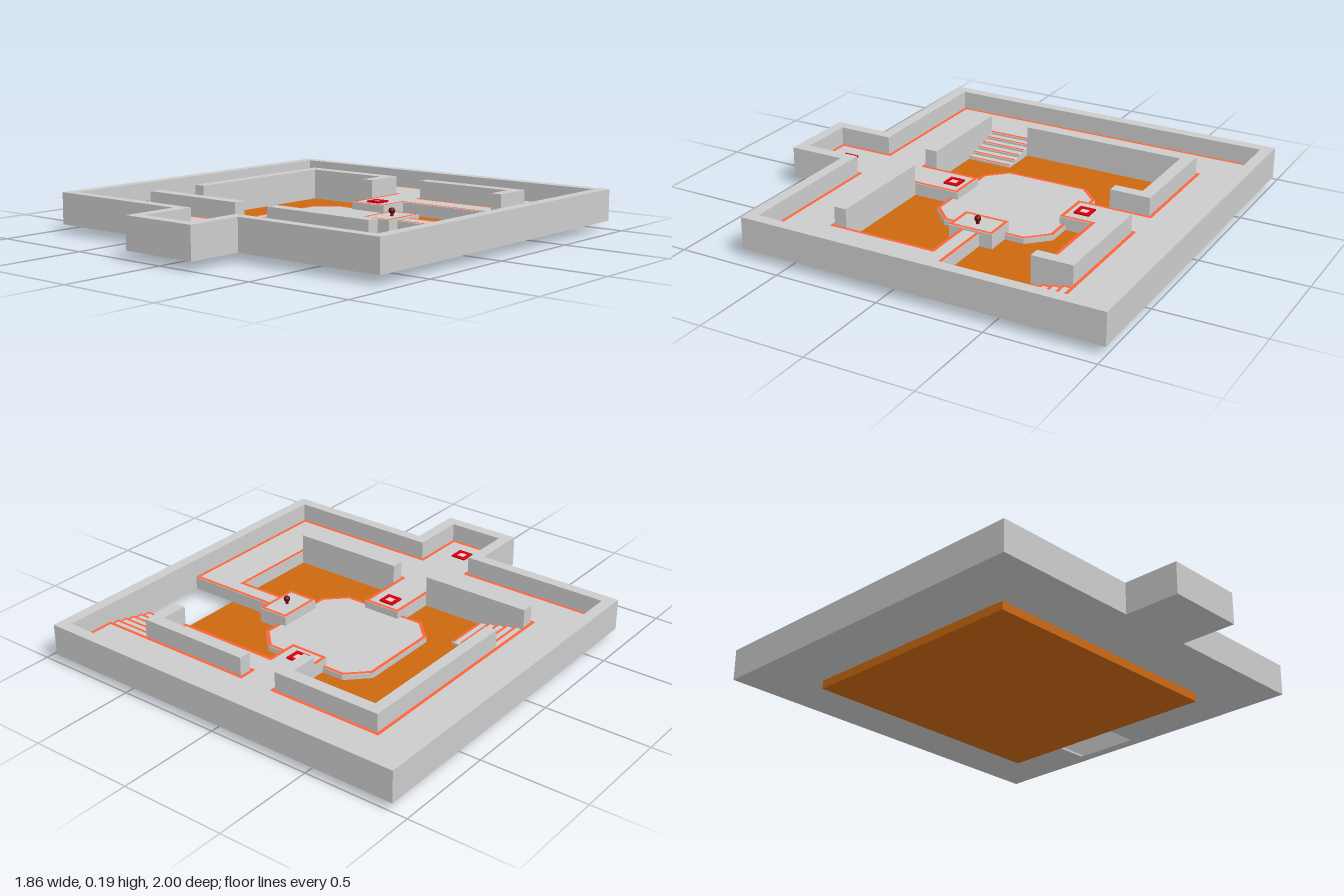
import * as THREE from 'three';

const BASE = 0.04, FLOOR = 0.1, TOP = 0.19;

const mat = (color) => new THREE.MeshStandardMaterial({ color });
const grey = mat(0xcccccc), lavaMat = mat(0xcc6810), trimMat = mat(0xff6238);
const redMat = mat(0xd8000c), pinkMat = mat(0xffc8d0), darkMat = mat(0x6a0808);

export function createModel() {
  const root = new THREE.Group();
  root.name = 'arenaFloor';

  const group = (name) => {
    const g = new THREE.Group();
    g.name = name;
    root.add(g);
    return g;
  };
  const add = (parent, name, geo, material) => {
    const m = new THREE.Mesh(geo, material);
    m.name = name;
    parent.add(m);
    return m;
  };
  // Box given by its limits
  const box = (parent, name, x0, x1, y0, y1, z0, z1, material = grey) => {
    const m = add(parent, name, new THREE.BoxGeometry(x1 - x0, y1 - y0, z1 - z0), material);
    m.position.set((x0 + x1) / 2, (y0 + y1) / 2, (z0 + z1) / 2);
  };
  // Plan outline [x, z], clockwise from above, raised from y0 to y1
  const plan = (parent, name, outline, hole, y0, y1, material = grey) => {
    const v = (pts) => pts.map(([x, z]) => new THREE.Vector2(x, -z));
    const shape = new THREE.Shape(v(outline).reverse());
    if (hole) shape.holes.push(new THREE.Path(v(hole)));
    const geo = new THREE.ExtrudeGeometry(shape, { depth: y1 - y0, bevelEnabled: false });
    geo.rotateX(-Math.PI / 2).translate(0, y0, 0);
    add(parent, name, geo, material);
  };
  // Flat strip laid along a plan path
  const trims = group('trim');
  const trim = (name, pts, y = FLOOR, w = 0.016) => {
    for (let i = 0; i < pts.length - 1; i++) {
      const [ax, az] = pts[i], [bx, bz] = pts[i + 1];
      const geo = new THREE.PlaneGeometry(Math.hypot(bx - ax, bz - az) + w, w).rotateX(-Math.PI / 2);
      const m = add(trims, name, geo, trimMat);
      m.position.set((ax + bx) / 2, y + 0.002, (az + bz) / 2);
      m.rotation.y = -Math.atan2(bz - az, bx - ax);
    }
  };
  // Square room with an entrance bay at the front
  const room = (x, back, front, doorL, doorR, doorZ) => [
    [-x, back], [x, back], [x, front], [doorR, front],
    [doorR, doorZ], [doorL, doorZ], [doorL, front], [-x, front],
  ];

  // Sunken basin
  box(root, 'lavaBasin', -0.643, 0.643, 0, BASE, -0.71, 0.44, lavaMat);

  // Outer wall and raised walkway with its opening
  plan(root, 'outerWall', room(0.93, -1, 0.728, -0.2, 0.183, 1),
    room(0.875, -0.945, 0.675, -0.145, 0.125, 0.945), BASE, TOP);
  plan(root, 'walkway', room(0.9, -0.97, 0.7, -0.17, 0.155, 0.97), [
    [0.875, -0.148], [0.4, -0.148], [0.4, -0.055], [0.645, -0.055], [0.645, 0.443],
    [0.084, 0.443], [0.084, 0.155], [-0.107, 0.155], [-0.107, 0.443], [-0.645, 0.443],
    [-0.645, -0.717], [-0.107, -0.717], [-0.107, -0.37], [0.084, -0.37],
    [0.084, -0.523], [0.593, -0.523], [0.593, -0.717], [0.875, -0.717],
  ], BASE, FLOOR);

  // Inner walls around the basin
  const walls = group('innerWalls');
  for (const [name, x0, x1, z0, z1] of [
    ['sideWall', -0.645, -0.59, -0.717, 0.153],
    ['backWallRight', -0.59, -0.107, -0.717, -0.657],
    ['backWallRightReturn', -0.163, -0.107, -0.657, -0.523],
    ['backWallLeft', 0.084, 0.645, -0.717, -0.657],
    ['backWallLeftReturn', 0.59, 0.645, -0.657, -0.523],
    ['frontWallRight', -0.645, -0.107, 0.382, 0.443],
    ['frontWallLeft', 0.084, 0.645, 0.382, 0.443],
  ]) box(walls, name, x0, x1, BASE, TOP, z0, z1);

  // Central platform
  const octagon = (d) => {
    const x0 = -0.312 + d, x1 = 0.299 - d, z0 = -0.4 + d, z1 = 0.192 - d, c = 0.095 - d * 0.59;
    return [[x0 + c, z0], [x1 - c, z0], [x1, z0 + c], [x1, z1 - c],
      [x1 - c, z1], [x0 + c, z1], [x0, z1 - c], [x0, z0 + c]];
  };
  const rim = octagon(0.008);
  plan(root, 'centralPlatform', octagon(0), null, BASE, 0.065);
  trim('platformTrim', [...rim, rim[0]], 0.065);

  // Pedestal with a small orb
  const PED = 0.11;
  box(root, 'pedestal', 0.261, 0.411, BASE, PED, -0.212, 0.005);
  trim('pedestalTrim', [[0.269, -0.204], [0.403, -0.204], [0.403, -0.003], [0.269, -0.003], [0.269, -0.204]], PED, 0.015);
  const orb = group('orb');
  orb.position.set(0.343, PED, -0.102);
  add(orb, 'orbStem', new THREE.CylinderGeometry(0.005, 0.008, 0.02, 12), darkMat).position.y = 0.01;
  add(orb, 'orbBall', new THREE.SphereGeometry(0.015, 20, 14), darkMat).position.y = 0.024;

  // Two flights of steps down to the basin
  const stairs = group('stairs');
  const STEPS = 5;
  for (let i = 0; i < STEPS; i++) {
    const y = FLOOR - (i + 1) * (FLOOR - BASE) / (STEPS + 1);
    const x = -0.645 + i * 0.047, z = -0.717 + i * 0.048;
    box(stairs, 'sideStep', x, x + 0.047, BASE, y, 0.153, 0.382);
    trim('sideStepTrim', [[x + 0.04, 0.16], [x + 0.04, 0.375]], y, 0.013);
    box(stairs, 'backStep', 0.645, 0.875, BASE, y, z, z + 0.048);
    trim('backStepTrim', [[0.652, z + 0.007], [0.652, z + 0.041], [0.868, z + 0.041], [0.868, z + 0.007]], y, 0.013);
  }

  // Trim along the walkway edges
  trim('outerTrim', [
    [0.867, -0.725], [0.867, -0.937], [-0.867, -0.937], [-0.867, 0.667], [-0.137, 0.667],
    [-0.137, 0.937], [0.117, 0.937], [0.117, 0.667], [0.867, 0.667], [0.867, -0.14], [0.419, -0.14],
  ]);
  trim('innerTrim', [
    [0.419, -0.063], [0.653, -0.063], [0.653, 0.451], [0.076, 0.451], [0.076, 0.163],
    [-0.099, 0.163], [-0.099, 0.451], [-0.653, 0.451], [-0.653, -0.725], [-0.099, -0.725],
    [-0.099, -0.378], [0.076, -0.378], [0.076, -0.531], [0.582, -0.531], [0.582, -0.649],
    [0.076, -0.649], [0.076, -0.725], [0.867, -0.725],
  ]);

  // Red square markers
  for (const z of [-0.447, 0.228, 0.825]) {
    const marker = group('squareMarker');
    marker.position.set(-0.011, 0, z);
    const square = (r) => [[-r, -r], [r, -r], [r, r], [-r, r]];
    plan(marker, 'markerFrame', square(0.037), square(0.02), FLOOR - 0.002, FLOOR + 0.008, redMat);
    plan(marker, 'markerPlate', square(0.02), null, FLOOR - 0.002, FLOOR + 0.004, pinkMat);
  }
  return root;
}
